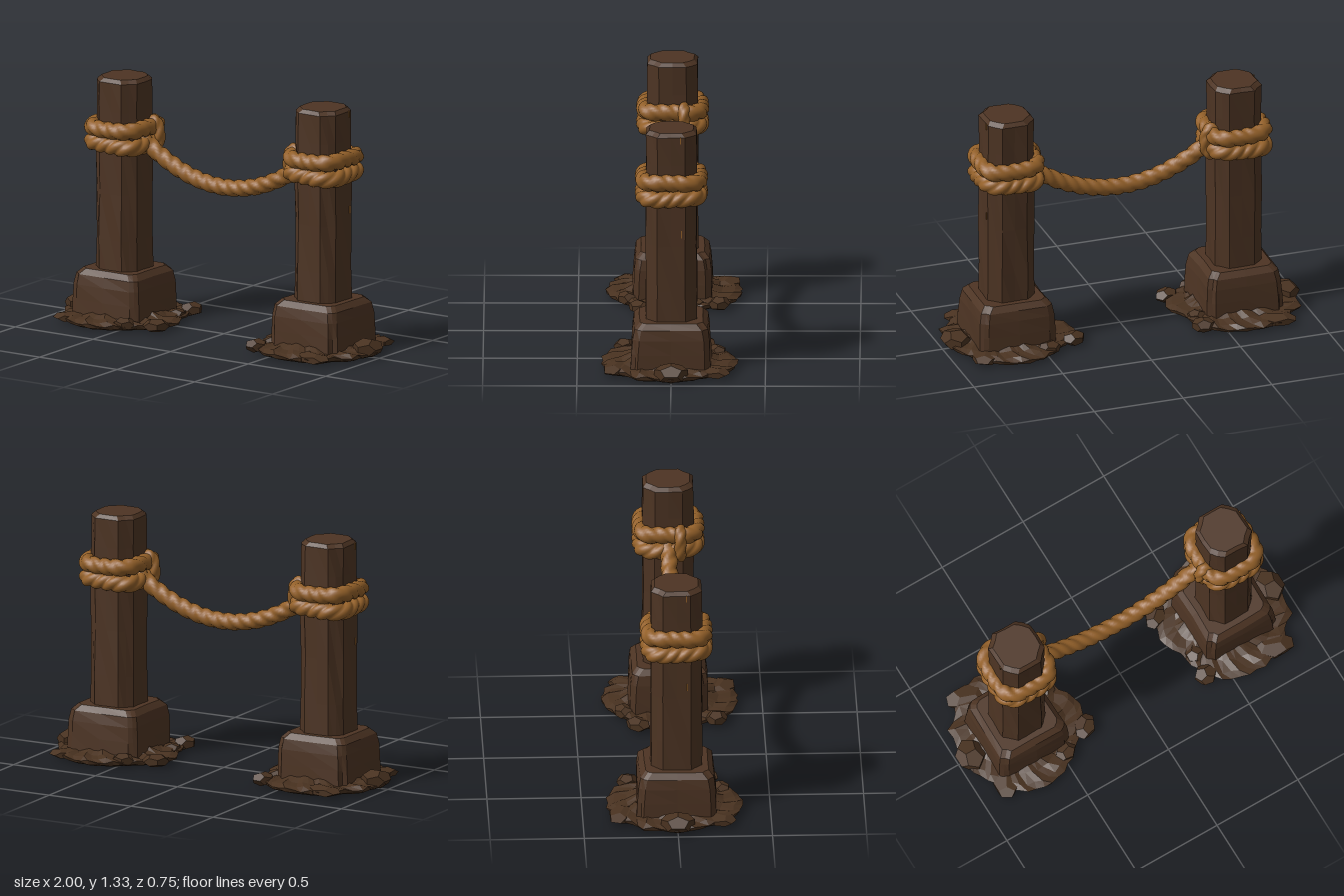
import * as THREE from 'three';

const wood = new THREE.MeshStandardMaterial({ color: 0x4d3423 });
wood.name = 'weathered wood';
const earth = new THREE.MeshStandardMaterial({ color: 0x493220 });
earth.name = 'packed earth';
const hemp = new THREE.MeshStandardMaterial({ color: 0x936029 });
hemp.name = 'hemp rope';

// Skins a list of equal-length rings; optionally joins the last ring to the first, or caps the ends.
function skin(rings, { loop = false, flat = false } = {}) {
  const n = rings[0].length, m = rings.length, index = [];
  const pts = rings.flat();
  const at = (i, j) => (i % m) * n + (j % n);
  for (let i = 0; i < (loop ? m : m - 1); i++) {
    for (let j = 0; j < n; j++) {
      index.push(at(i, j), at(i, j + 1), at(i + 1, j));
      index.push(at(i, j + 1), at(i + 1, j + 1), at(i + 1, j));
    }
  }
  if (!loop) {
    for (const i of [0, m - 1]) {
      const c = new THREE.Vector3();
      rings[i].forEach((p) => c.addScaledVector(p, 1 / n));
      const k = pts.push(c) - 1;
      for (let j = 0; j < n; j++) {
        if (i === 0) index.push(k, at(i, j + 1), at(i, j));
        else index.push(k, at(i, j), at(i, j + 1));
      }
    }
  }
  let geo = new THREE.BufferGeometry().setFromPoints(pts);
  geo.setIndex(index);
  if (flat) geo = geo.toNonIndexed();
  geo.computeVertexNormals();
  return geo;
}

function mesh(name, geo, mat, parent) {
  const part = new THREE.Mesh(geo, mat);
  part.name = name;
  parent.add(part);
  return part;
}

// Square ring with cut corners, slightly uneven as if hewn by hand
function hewnRing(y, hx, hz, cut, wobble) {
  const corners = [
    [hx, -hz + cut], [hx - cut, -hz], [-hx + cut, -hz], [-hx, -hz + cut],
    [-hx, hz - cut], [-hx + cut, hz], [hx - cut, hz], [hx, hz - cut],
  ];
  const ring = [];
  corners.forEach(([x, z], i) => {
    const [x2, z2] = corners[(i + 1) % 8];
    ring.push([x, z], [(x + x2) / 2, (z + z2) / 2]);
  });
  return ring.map(([x, z], i) => {
    const k = 1 + wobble * Math.sin(i * 2.3 + y * 9 + Math.sin(i * 5.1));
    return new THREE.Vector3(x * k, y, z * k);
  });
}

// Three-strand twisted rope along a planar path; side is the normal of that plane
function rope(path, side, radius, turns, steps, loop = false) {
  const sides = 24, rings = [];
  for (let i = 0; i < (loop ? steps : steps + 1); i++) {
    const t = i / steps, c = path(t);
    const tangent = path(t + 1e-3).sub(path(t - 1e-3)).normalize();
    const normal = side.clone().cross(tangent);
    const ring = [];
    for (let j = 0; j < sides; j++) {
      const a = (j / sides) * Math.PI * 2;
      const lobe = Math.abs(Math.cos(1.5 * (a - t * turns * Math.PI * 2)));
      const r = radius * (0.8 + 0.22 * lobe);
      ring.push(c.clone().addScaledVector(normal, r * Math.cos(a)).addScaledVector(side, r * Math.sin(a)));
    }
    rings.push(ring);
  }
  return skin(rings, { loop });
}

// Post with footing, soil and rope wraps, built around its own axis; the inner side is -x
function buildPost() {
  const post = new THREE.Group();
  post.name = 'post';

  const shaft = [[0.2, 0.132], [0.45, 0.131], [0.7, 0.13], [0.95, 0.131], [1.15, 0.13], [1.305, 0.13], [1.325, 0.112]];
  mesh('shaft', skin(shaft.map(([y, h]) => hewnRing(y, h, h + 0.004, 0.06, 0.022)), { flat: true }), wood, post);

  const footing = [[0.01, 0.213], [0.12, 0.209], [0.2, 0.205], [0.255, 0.196], [0.285, 0.168]];
  mesh('footing', skin(footing.map(([y, h]) => hewnRing(y, h, h, 0.035, 0.02)), { flat: true }), wood, post);

  // Ragged soil outline, one radius every 15 degrees
  const outline = [
    0.35, 0.34, 0.37, 0.34, 0.40, 0.37, 0.37, 0.37, 0.37, 0.35, 0.33, 0.31,
    0.35, 0.36, 0.34, 0.32, 0.33, 0.34, 0.355, 0.355, 0.355, 0.33, 0.33, 0.34,
  ];
  const layers = [[0, 0.88], [0.012, 0.97], [0.03, 1], [0.042, 0.9], [0.045, 0.72], [0.07, 0.55]];
  const soil = layers.map(([y, s], k) => Array.from({ length: 48 }, (_, j) => {
    const a = -(j / 48) * Math.PI * 2;
    const i = (24 - j / 2) % 24;
    const edge = (outline[Math.floor(i)] + outline[Math.ceil(i) % 24]) / 2;
    const r = edge * s * (1 + 0.018 * Math.sin(j * 2.7 + k));
    const lift = k > 1 ? 0.007 * Math.sin(j * 1.9 + k * 2) : 0;
    return new THREE.Vector3(r * Math.cos(a), y + lift, r * Math.sin(a));
  }));
  mesh('soil', skin(soil, { flat: true }), earth, post).position.x = -0.01;

  // Stones and clods: x, z, then half sizes
  [
    [0.285, 0, 0.075, 0.048, 0.09], [-0.32, -0.17, 0.07, 0.034, 0.055],
    [-0.26, 0.25, 0.055, 0.036, 0.06], [-0.25, 0.12, 0.05, 0.03, 0.05],
    [0.13, 0.29, 0.11, 0.028, 0.07], [-0.16, -0.24, 0.06, 0.034, 0.05],
    [0.2, -0.23, 0.08, 0.026, 0.07],
  ].forEach(([x, z, sx, sy, sz], i) => {
    const stone = mesh('stone', new THREE.DodecahedronGeometry(1.08), earth, post);
    stone.scale.set(sx, sy, sz);
    stone.position.set(x, sy, z);
    stone.rotation.y = i * 0.7 * (i > 0);
  });

  // Two rope wraps following the squarish shaft
  const up = new THREE.Vector3(0, 1, 0);
  [0.968, 1.054].forEach((y, k) => {
    const path = (t) => {
      const a = t * Math.PI * 2, c = Math.cos(a), s = Math.sin(a);
      const r = 0.143 / Math.pow(c ** 4 + s ** 4, 0.25);
      return new THREE.Vector3(r * c, y + 0.004 * Math.sin(a * 2 + k * 2), -r * s * 1.03);
    };
    mesh('ropeWrap', rope(path, up, 0.046, k ? 5 : -5, 120, true), hemp, post);
  });

  // Upright lashing over both wraps on the inner side
  const lash = (t) => {
    const a = t * Math.PI * 2;
    return new THREE.Vector3(-0.148 + 0.035 * Math.cos(a), 1.012 + 0.074 * Math.sin(a), 0.06);
  };
  mesh('ropeLashing', rope(lash, new THREE.Vector3(0, 0, 1), 0.032, 2, 60, true), hemp, post);

  // Small splinters of bare wood
  [[0.131, 1.29, -0.05, 0.035], [0.131, 0.77, -0.055, 0.04]].forEach(([x, y, z, h]) => {
    mesh('splinter', new THREE.BoxGeometry(0.006, h, 0.006), hemp, post).position.set(x, y, z);
  });
  return post;
}

export function createModel() {
  const model = new THREE.Group();
  model.name = 'ropeBarrier';

  // The second post is the first turned half way round
  const left = buildPost();
  left.position.x = 0.64;
  left.name = 'leftPost';
  const right = left.clone();
  right.position.x = -0.64;
  right.rotation.y = Math.PI;
  right.name = 'rightPost';
  model.add(left, right);

  // Sagging rope between the posts
  const sag = (t) => {
    const x = (t - 0.5) * 1.04;
    return new THREE.Vector3(x, 0.8 + 0.72 * x * x, 0);
  };
  mesh('hangingRope', rope(sag, new THREE.Vector3(0, 0, 1), 0.046, 5, 120), hemp, model);
  return model;
}
